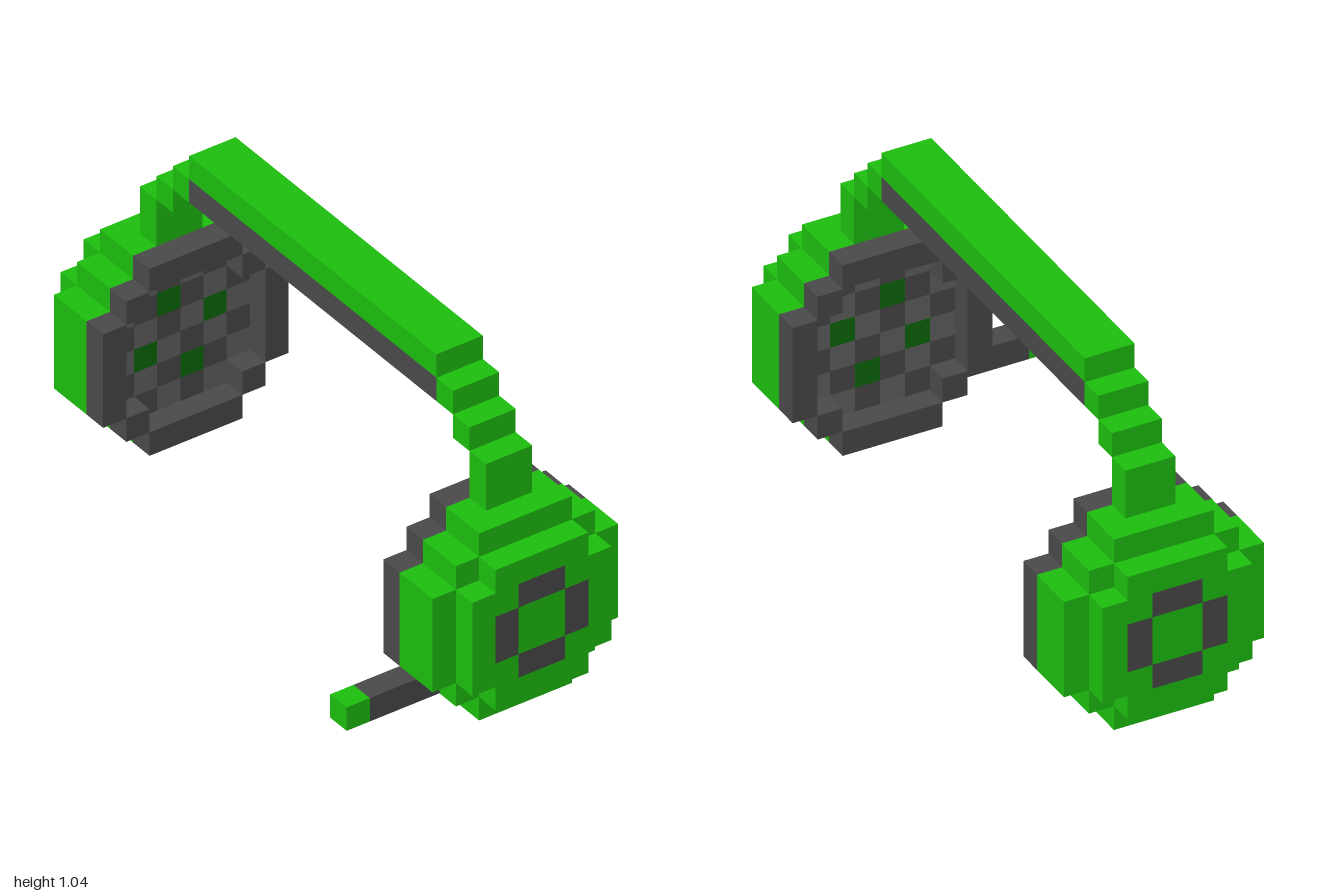
import * as THREE from 'three';

const U = 0.08;                 // one block
const CY = 0.32, CZ = -0.12;    // centre of the ear cups

const mat = (color) => new THREE.MeshStandardMaterial({ color, flatShading: true });

export function createModel() {
  const root = new THREE.Group();
  const green = mat(0x1dc00f), dark = mat(0x4a4a4a);
  const grey = mat(0x626262), deepGreen = mat(0x0c6a0c);

  // Box from its limits on each axis
  function box(parent, name, material, [x0, x1], [y0, y1], [z0, z1]) {
    const mesh = new THREE.Mesh(
      new THREE.BoxGeometry(Math.abs(x1 - x0), y1 - y0, z1 - z0), material);
    mesh.position.set((x0 + x1) / 2, (y0 + y1) / 2, (z0 + z1) / 2);
    mesh.name = name;
    parent.add(mesh);
    return mesh;
  }

  // Stair-stepped outline: one quarter given in blocks, turned four times
  function stepped(quarter, PathType) {
    const points = [];
    for (let q = 0; q < 4; q++) {
      const c = [1, 0, -1, 0][q], s = [0, 1, 0, -1][q];
      for (const [x, y] of quarter) {
        points.push(new THREE.Vector2((x * c - y * s) * U, (x * s + y * c) * U));
      }
    }
    return new PathType(points);
  }

  // Stepped plate extruded along x, centred on xMid
  function plate(parent, name, shape, depth, xMid) {
    const geo = new THREE.ExtrudeGeometry(shape, { depth, bevelEnabled: false });
    geo.translate(0, 0, -depth / 2).rotateY(Math.PI / 2);
    const mesh = new THREE.Mesh(geo, green);
    mesh.position.set(xMid, CY, CZ);
    mesh.name = name;
    parent.add(mesh);
  }

  // Box on an ear cup, with y and z in blocks from the cup centre
  const cupBox = (cup, name, material, xs, [y0, y1], [z0, z1]) =>
    box(cup, name, material, xs,
      [CY + y0 * U, CY + y1 * U], [CZ + z0 * U, CZ + z1 * U]);

  for (const s of [1, -1]) {
    const cup = new THREE.Group();
    cup.name = s > 0 ? 'leftEarCup' : 'rightEarCup';
    root.add(cup);

    // Wide shell
    plate(cup, 'shell', stepped(
      [[4, -2], [4, 2], [3, 2], [3, 3], [2, 3]], THREE.Shape), 2 * U, s * 0.84);

    // Outer cap with a cross-shaped opening filled by the ring and hub
    const cap = stepped([[3, -2], [3, 2], [2, 2]], THREE.Shape);
    cap.holes.push(stepped([[2, -1], [2, 1], [1, 1]], THREE.Path));
    plate(cup, 'outerCap', cap, U, s * 0.96);
    const capX = [s * 0.92, s * 1.0];
    cupBox(cup, 'capHub', green, capX, [-1, 1], [-1, 1]);
    for (const t of [1, -2]) {
      cupBox(cup, 'capRing', dark, capX, [t, t + 1], [-1, 1]);
      cupBox(cup, 'capRing', dark, capX, [-1, 1], [t, t + 1]);
    }

    // Ear cushion: four bars joined by corner blocks
    const padX = [s * 0.68, s * 0.76];
    for (const t of [3, -4]) {
      cupBox(cup, 'cushion', dark, padX, [t, t + 1], [-2, 2]);
      cupBox(cup, 'cushion', dark, padX, [-2, 2], [t, t + 1]);
    }
    for (const y of [2, -3]) for (const z of [2, -3]) {
      cupBox(cup, 'cushionCorner', dark, padX, [y, y + 1], [z, z + 1]);
    }

    // Chequered speaker mesh at the bottom of the recess
    for (let y = -3; y < 3; y++) for (let z = -3; z < 3; z++) {
      const edgeY = y === -3 || y === 2, edgeZ = z === -3 || z === 2;
      if (edgeY && edgeZ) continue;
      const hole = (y + 2 * z + 15) % 5 === 1;
      const m = hole ? deepGreen : (y + z) % 2 ? grey : dark;
      cupBox(cup, 'speakerMesh', m, [s * 0.756, s * 0.762], [y, y + 1], [z, z + 1]);
    }

    // Stepped arm up to the headband
    const armZ = [-0.2, -0.04];
    box(root, 'armPost', green, [s * 0.76, s * 0.84], [0.64, 0.8], armZ);
    box(root, 'armStep', green, [s * 0.68, s * 0.76], [0.8, 0.88], armZ);
    box(root, 'armStep', green, [s * 0.6, s * 0.68], [0.88, 0.96], armZ);
  }

  // Headband and its padding
  box(root, 'headband', green, [-0.6, 0.6], [0.96, 1.04], [-0.2, -0.04]);
  box(root, 'headbandPadding', dark, [-0.6, 0.6], [0.88, 0.96], [-0.2, -0.04]);

  // Microphone on the left cup
  box(root, 'microphoneBoom', dark, [0.76, 0.84], [0.08, 0.16], [0.12, 0.36]);
  box(root, 'microphoneTip', green, [0.76, 0.84], [0.08, 0.16], [0.36, 0.44]);

  return root;
}
